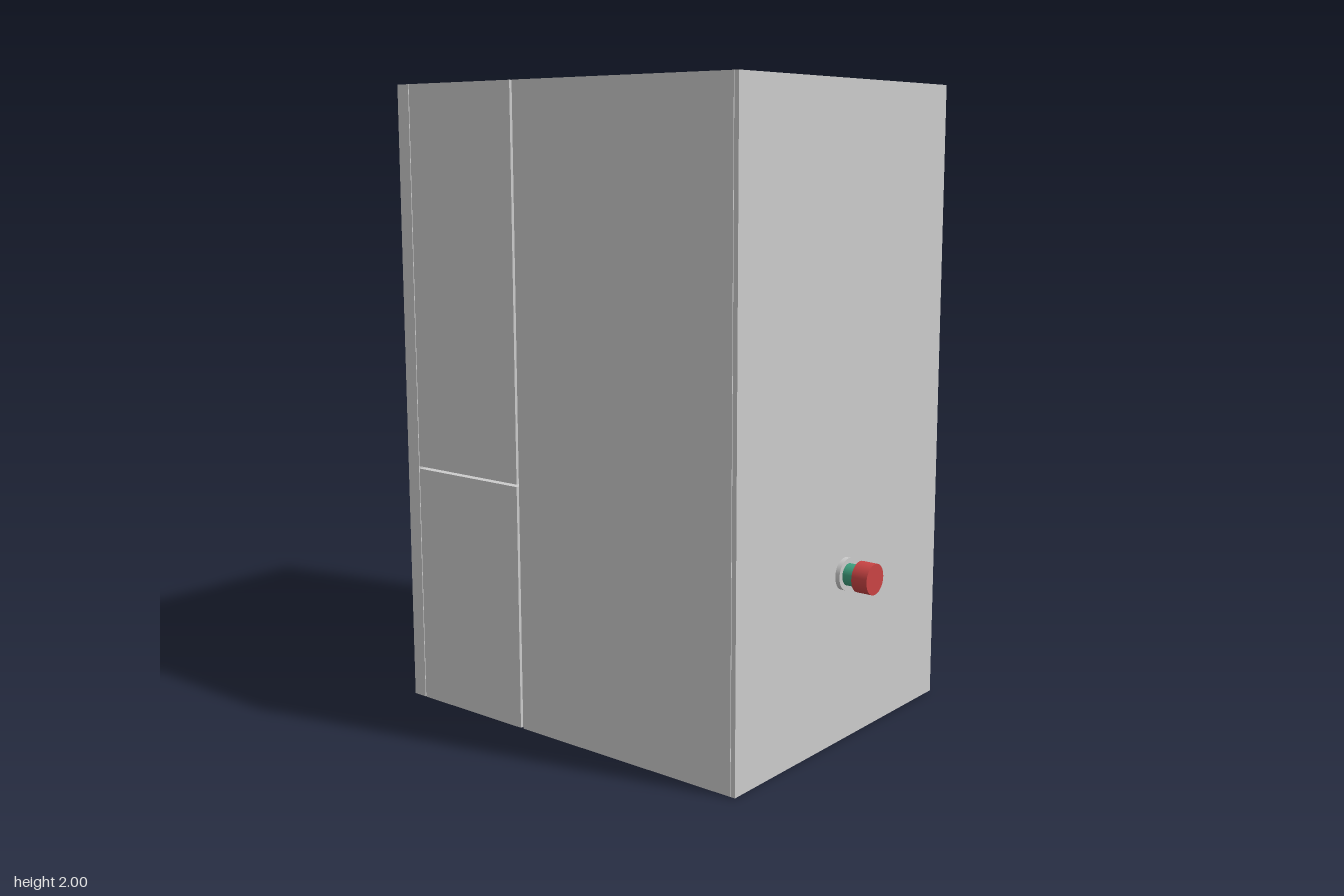
import * as THREE from 'three';
import { RoundedBoxGeometry } from 'three/addons/geometries/RoundedBoxGeometry.js';

const mat = (color) => new THREE.MeshStandardMaterial({ color });

export function createModel() {
  const model = new THREE.Group();
  const grey = mat(0xcccccc), rubber = mat(0x2b3136), black = mat(0x11161b);
  const glass = mat(0x36424a), teal = mat(0x12313a), red = mat(0xc94444), green = mat(0x3fa07f);

  const add = (name, geometry, material, x = 0, y = 0, z = 0) => {
    const mesh = new THREE.Mesh(geometry, material);
    mesh.name = name;
    mesh.position.set(x, y, z);
    model.add(mesh);
    return mesh;
  };
  // Box given by its limits on each axis
  const slab = (name, material, [x0, x1], [y0, y1], [z0, z1]) =>
    add(name, new THREE.BoxGeometry(x1 - x0, y1 - y0, z1 - z0), material,
      (x0 + x1) / 2, (y0 + y1) / 2, (z0 + z1) / 2);
  // Cylinder whose axis runs along z
  const disc = (name, material, r, x, y, z0, z1) => {
    const g = new THREE.CylinderGeometry(r, r, z1 - z0, 32).rotateX(Math.PI / 2);
    return add(name, g, material, x, y, (z0 + z1) / 2);
  };

  // Hollow case: front and back plates with an inset top panel
  slab('frontPlate', grey, [-0.55, 0.55], [0, 2], [0.61, 0.625]);
  slab('backPlate', grey, [-0.55, 0.55], [0, 2], [-0.71, -0.66]);
  slab('topPanel', grey, [-0.506, 0.506], [1.96, 1.998], [-0.655, 0.605]);

  // Side panels, separated by narrow open seams
  for (const s of [-1, 1]) {
    const xs = s > 0 ? [0.511, 0.55] : [-0.55, -0.511];
    slab('sideFrontPanel', grey, xs, [0, 2], [-0.205, 0.608]);
    slab('sideUpperPanel', grey, xs, [0.784, 2], [-0.657, -0.215]);
    slab('sideLowerPanel', grey, xs, [0, 0.776], [-0.657, -0.215]);
  }
  // Internal shelf behind the horizontal seam
  slab('innerShelf', black, [-0.508, 0.508], [0.755, 0.805], [-0.62, -0.2]);

  // Recessed control face on the underside
  slab('controlFace', black, [-0.51, 0.51], [0.025, 0.05], [-0.659, 0.609]);
  const pane = (name, material, width, depth, z, y) =>
    add(name, new RoundedBoxGeometry(width, 0.014, depth, 2, 0.006), material, 0, y, z);
  pane('rearWindow', glass, 0.88, 0.43, -0.37, 0.021);
  pane('frontWindow', glass, 0.88, 0.4, 0.13, 0.021);
  pane('display', teal, 0.3, 0.15, 0.5, 0.021);
  slab('windowDivider', black, [-0.47, 0.47], [0.012, 0.026], [-0.125, -0.1]);

  // Round rubber feet on the back plate
  for (const x of [-0.455, 0.455])
    for (const y of [0.15, 1.855]) disc('foot', rubber, 0.043, x, y, -0.735, -0.709);

  // Push button on the front plate
  disc('buttonFlange', grey, 0.05, 0, 0.53, 0.624, 0.64);
  disc('buttonStem', green, 0.034, 0, 0.53, 0.638, 0.682);
  disc('buttonCap', red, 0.048, 0, 0.53, 0.68, 0.733);

  return model;
}
